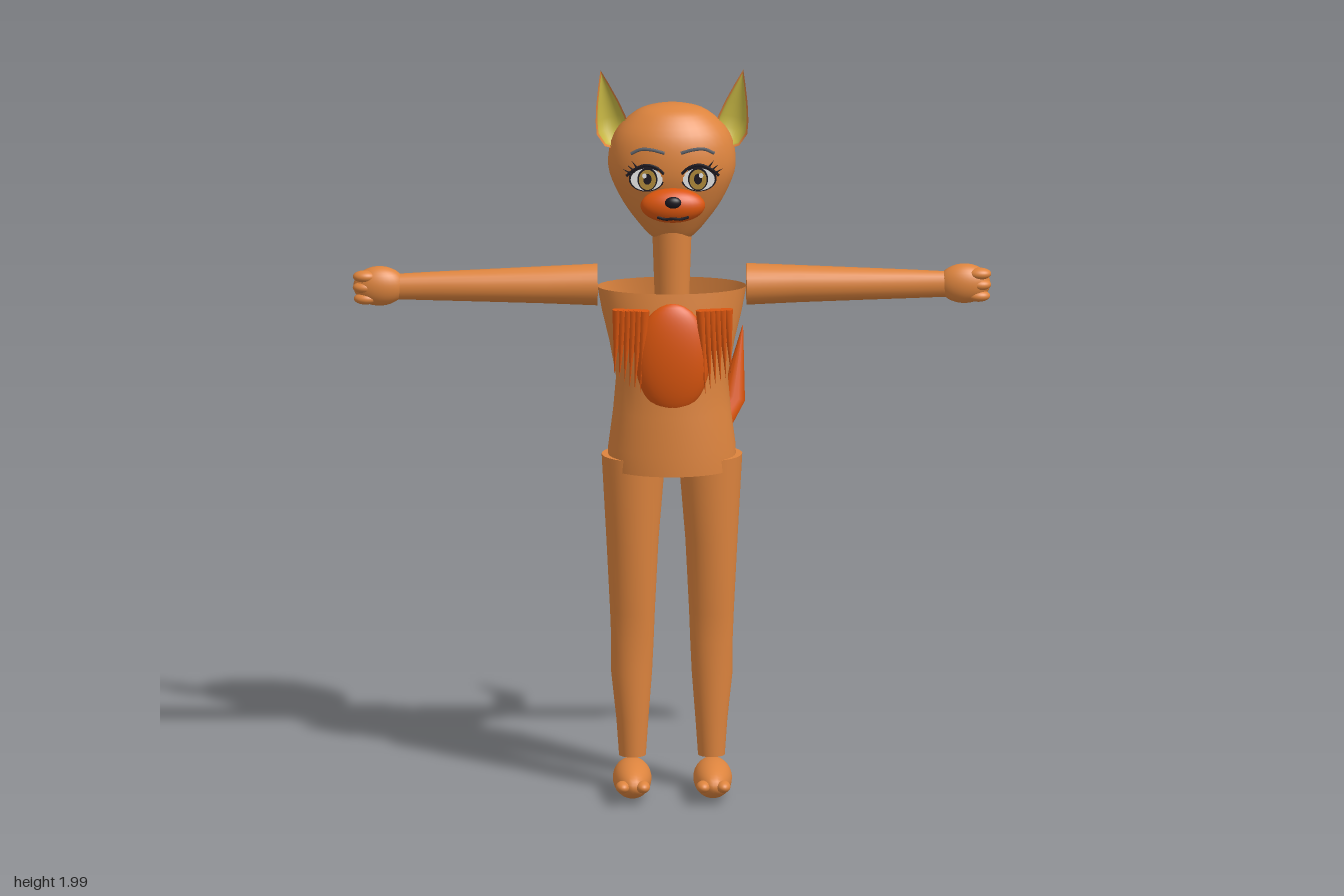
import * as THREE from 'three';

const mat = (name, color, side = THREE.FrontSide) => {
  const m = new THREE.MeshStandardMaterial({ color, side });
  m.name = name;
  return m;
};

export function createModel() {
  const root = new THREE.Group();
  const fur = mat('tan fur', 0xdd843e, THREE.DoubleSide);
  const orange = mat('deep orange', 0xdc560f);
  const yellow = mat('ear yellow', 0xc9b945, THREE.DoubleSide);
  const dark = mat('near black', 0x1c1820, THREE.DoubleSide);
  const white = mat('eye white', 0xeeeeee);
  const gold = mat('iris gold', 0xb08a3a);
  const grey = mat('brow grey', 0x5c5f66);

  const add = (name, geo, material, pos = [0, 0, 0], scale = [1, 1, 1], parent = root) => {
    const m = new THREE.Mesh(geo, material);
    m.name = name;
    m.position.set(...pos);
    m.scale.set(...scale);
    parent.add(m);
    return m;
  };
  const sphere = new THREE.SphereGeometry(1, 28, 18);
  const ball = (name, material, pos, radii) => add(name, sphere, material, pos, radii);

  // Skin of elliptical rings [x, y, z, a, b] along a path, with optional end caps
  const loft = (rings, ref, sides, capStart = true, capEnd = true) => {
    const c = rings.map(r => new THREE.Vector3(r[0], r[1], r[2]));
    const pos = [], idx = [], last = rings.length - 1;
    const loops = rings.map((r, i) => {
      const t = c[Math.min(i + 1, last)].clone().sub(c[Math.max(i - 1, 0)]).normalize();
      const u = ref.clone().cross(t).normalize();
      const v = t.clone().cross(u);
      return Array.from({ length: sides }, (_, j) => {
        const a = j / sides * Math.PI * 2;
        return c[i].clone().addScaledVector(u, r[3] * Math.cos(a)).addScaledVector(v, r[4] * Math.sin(a));
      });
    });
    loops.forEach(l => l.forEach(p => pos.push(p.x, p.y, p.z)));
    for (let i = 0; i < last; i++) for (let j = 0; j < sides; j++) {
      const k = (j + 1) % sides, a = i * sides, b = a + sides;
      idx.push(a + j, a + k, b + j, a + k, b + k, b + j);
    }
    const cap = (i, flip) => {
      const base = pos.length / 3;
      [c[i], ...loops[i]].forEach(p => pos.push(p.x, p.y, p.z));
      for (let j = 0; j < sides; j++) {
        const p = base + 1 + j, q = base + 1 + (j + 1) % sides;
        idx.push(base, flip ? q : p, flip ? p : q);
      }
    };
    if (capStart) cap(0, true);
    if (capEnd) cap(last, false);
    const g = new THREE.BufferGeometry();
    g.setAttribute('position', new THREE.Float32BufferAttribute(pos, 3));
    g.setIndex(idx);
    g.computeVertexNormals();
    return g;
  };
  const X = new THREE.Vector3(1, 0, 0), Y = new THREE.Vector3(0, 1, 0);

  // Torso, open at the shoulders, and neck
  add('torso', loft([
    [0, 0.90, 0.13, 0.121, 0.172], [0, 0.96, 0.13, 0.121, 0.171], [0, 1.06, 0.13, 0.115, 0.158],
    [0, 1.15, 0.128, 0.11, 0.15], [0, 1.25, 0.126, 0.112, 0.168], [0, 1.33, 0.126, 0.105, 0.187],
    [0, 1.40, 0.126, 0.095, 0.2],
  ], X, 36, true, false), fur);
  add('neck', new THREE.CylinderGeometry(0.053, 0.046, 0.2, 24), fur, [0, 1.46, 0.127]);

  // Egg-shaped head
  const headProfile = new THREE.SplineCurve([
    [0, 1.525], [0.05, 1.536], [0.098, 1.588], [0.142, 1.655], [0.171, 1.735],
    [0.156, 1.822], [0.1, 1.882], [0.045, 1.902], [0, 1.906],
  ].map(p => new THREE.Vector2(...p))).getPoints(32);
  headProfile.forEach(p => { p.x = Math.max(p.x, 0); });
  add('head', new THREE.LatheGeometry(headProfile, 36), fur, [0, 0, 0.127], [1, 1, 0.7]);

  // Muzzle, nose and mouth
  ball('muzzle', orange, [0, 1.657, 0.26], [0.087, 0.047, 0.042]);
  ball('nose', dark, [0, 1.675, 0.3], [0.022, 0.016, 0.013]);
  add('mouth', new THREE.TubeGeometry(new THREE.CatmullRomCurve3([
    [-0.042, 1.633, 0.292], [-0.02, 1.628, 0.296], [0, 1.63, 0.298], [0.02, 1.628, 0.296], [0.042, 1.633, 0.292],
  ].map(p => new THREE.Vector3(...p))), 20, 0.004, 6), dark);

  // Chest patch
  ball('chestPatch', orange, [0, 1.222, 0.222], [0.1, 0.153, 0.04]);

  const disc = new THREE.CircleGeometry(1, 28);
  const earProfile = [[0, 0], [0.03, 0.015], [0.045, 0.05], [0.041, 0.085], [0.03, 0.13], [0.014, 0.18], [0, 0.22]]
    .map(p => new THREE.Vector2(...p));
  const earShell = new THREE.LatheGeometry(earProfile, 16, Math.PI / 2, Math.PI);

  for (const s of [1, -1]) {
    const side = s > 0 ? 'left' : 'right';

    // Cupped ear with a coloured lining
    const ear = new THREE.Group();
    ear.name = side + 'Ear';
    ear.position.set(s * 0.148, 1.784, 0.148);
    ear.rotation.set(-0.1, 0, -s * 0.2);
    root.add(ear);
    add(side + 'EarShell', earShell, fur, [0, 0, 0], [1, 1, 0.95], ear);
    add(side + 'EarLining', earShell, yellow, [0, 0.007, 0.001], [0.88, 0.92, 0.8], ear);

    // Eye in thin layers
    [['EyeOutline', dark, 0.07, 1.727, 0.048, 0.036], ['EyeWhite', white, 0.07, 1.725, 0.043, 0.031],
      ['IrisRim', dark, 0.068, 1.726, 0.027, 0.032], ['Iris', gold, 0.068, 1.725, 0.023, 0.028],
      ['Pupil', dark, 0.068, 1.727, 0.011, 0.015], ['EyeGlint', white, 0.076, 1.737, 0.006, 0.007],
    ].forEach(([n, m, x, y, rx, ry], i) => add(side + n, disc, m, [s * x, y, 0.243 + i * 0.0015], [rx, ry, 1]));

    // Upper lid and lashes
    add(side + 'Lid', new THREE.TubeGeometry(new THREE.CatmullRomCurve3([
      [0.024, 1.742, 0.25], [0.045, 1.76, 0.25], [0.075, 1.766, 0.249], [0.105, 1.752, 0.246], [0.124, 1.735, 0.242],
    ].map(p => new THREE.Vector3(s * p[0], p[1], p[2]))), 16, 0.004, 6), dark);
    for (let i = 0; i < 3; i++) {
      const lash = add(side + 'Lash', new THREE.ConeGeometry(0.004, 0.03, 5), dark, [s * (0.122 - i * 0.01), 1.748 + i * 0.009, 0.245]);
      lash.rotation.z = -s * (1.05 - i * 0.2);
    }

    // Eyebrow
    add(side + 'Brow', new THREE.TubeGeometry(new THREE.CatmullRomCurve3([
      [0.022, 1.797, 0.242], [0.055, 1.806, 0.241], [0.085, 1.807, 0.238], [0.112, 1.795, 0.236],
    ].map(p => new THREE.Vector3(s * p[0], p[1], p[2]))), 14, 0.0045, 6), grey);

    // Fringe of pointed chest tufts
    for (let i = 0; i < 6; i++) {
      const h = 0.235 - i * 0.011;
      const tuft = add(side + 'Tuft', new THREE.ConeGeometry(0.015, h, 10), orange,
        [s * (0.082 + i * 0.014), 1.36 - h / 2, 0.238 - i * 0.002]);
      tuft.rotation.z = Math.PI + s * 0.05;
    }

    // Arm, hand and fingers
    add(side + 'Arm', loft([
      [s * 0.2, 1.403, 0.123, 0.057, 0.056], [s * 0.34, 1.403, 0.123, 0.05, 0.05],
      [s * 0.5, 1.402, 0.123, 0.041, 0.044], [s * 0.64, 1.401, 0.123, 0.032, 0.039],
      [s * 0.735, 1.4, 0.123, 0.026, 0.035],
    ], Y, 24), fur);
    ball(side + 'Hand', fur, [s * 0.785, 1.402, 0.123], [0.07, 0.054, 0.041]);
    [1.432, 1.402, 1.371].forEach((y, i) =>
      ball(side + 'Finger', fur, [s * (0.826 - (i === 2 ? 0.003 : 0)), y, 0.138], [0.031, 0.016, 0.022]));

    // Leg, foot and toes
    const lx = s * 0.106;
    add(side + 'Leg', loft([
      [lx, 0.1, 0.127, 0.037, 0.036], [lx, 0.2, 0.125, 0.043, 0.043], [lx * 1.02, 0.33, 0.121, 0.051, 0.055],
      [lx, 0.42, 0.127, 0.046, 0.057], [lx, 0.5, 0.132, 0.048, 0.06], [lx, 0.7, 0.13, 0.07, 0.07],
      [lx * 0.97, 0.935, 0.13, 0.083, 0.086],
    ], X, 28), fur);
    ball(side + 'Foot', fur, [s * 0.108, 0.054, 0.197], [0.052, 0.049, 0.122]);
    for (const t of [-1, 1])
      ball(side + 'Toe', fur, [s * 0.108 + t * 0.027, 0.055, 0.302], [0.019, 0.016, 0.027]);
  }

  // Bent, pointed tail
  add('tail', loft([
    [0, 0.955, 0.03, 0.047, 0.05], [0, 0.905, -0.11, 0.045, 0.05], [0.095, 0.862, -0.235, 0.04, 0.042],
    [0.172, 0.98, -0.295, 0.034, 0.034], [0.198, 1.175, -0.31, 0.001, 0.001],
  ], X, 14), orange);

  return root;
}
